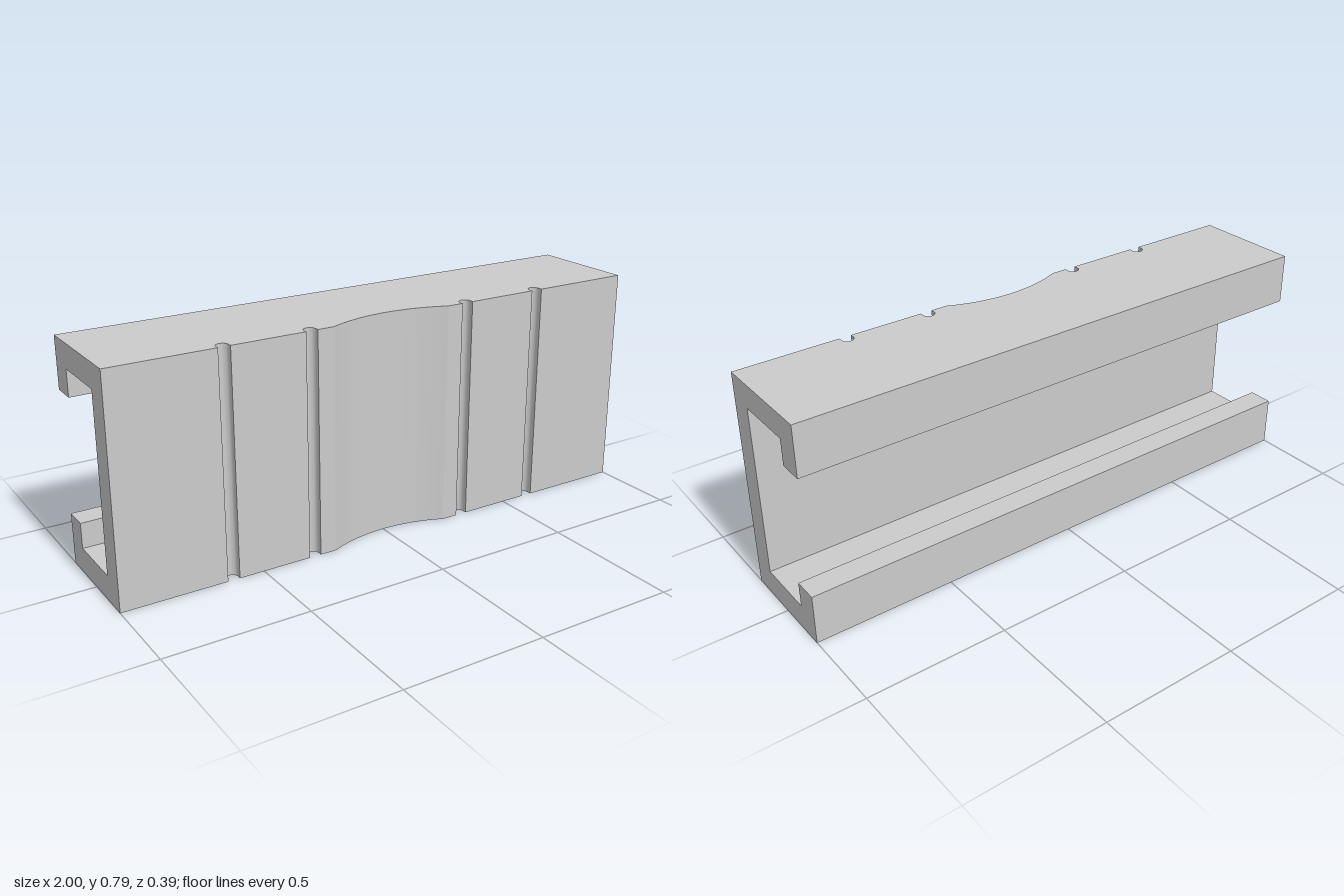
import * as THREE from 'three';
import { mergeGeometries, toCreasedNormals } from 'three/addons/utils/BufferGeometryUtils.js';

const L = 1, H = 0.79, D = 0.196;        // half length, height, half depth
const INNER = 0.108;                     // inner faces of wall and lips
const GROOVES = [-0.61, -0.305, 0.305, 0.61];
const GROOVE_R = 0.021, GROOVE_Z = 0.181;
const DISH_HALF = 0.225, DISH_DEPTH = 0.049;

// Front outline in plan, left to right: [x, z]
function frontOutline() {
  const pts = [[-L, D]];
  const groove = (x) => {
    pts.push([x - GROOVE_R, D]);
    for (let i = 0; i <= 16; i++) {
      const a = Math.PI * (1 + i / 16);
      pts.push([x + GROOVE_R * Math.cos(a), GROOVE_Z + GROOVE_R * Math.sin(a)]);
    }
    pts.push([x + GROOVE_R, D]);
  };
  const dish = () => {
    const r = (DISH_HALF ** 2 + DISH_DEPTH ** 2) / (2 * DISH_DEPTH);
    const half = Math.asin(DISH_HALF / r);
    for (let i = 0; i <= 28; i++) {
      const a = half * (i / 14 - 1);
      pts.push([r * Math.sin(a), D - DISH_DEPTH + r * (1 - Math.cos(a))]);
    }
  };
  GROOVES.slice(0, 2).forEach(groove);
  dish();
  GROOVES.slice(2).forEach(groove);
  pts.push([L, D]);
  return pts;
}

// Back and inside of the C section, top to bottom: [z, y]
const SECTION = [
  [-D, H], [-D, 0.61], [-INNER, 0.61], [-INNER, 0.703], [INNER, 0.703],
  [INNER, 0.09], [-INNER, 0.09], [-INNER, 0.18], [-D, 0.18], [-D, 0],
];

// Sweeps an open path between two positions given by near() and far()
function ribbon(path, near, far) {
  const pos = [];
  for (let i = 0; i < path.length - 1; i++) {
    const a = near(path[i]), b = near(path[i + 1]), c = far(path[i + 1]), d = far(path[i]);
    pos.push(...a, ...b, ...c, ...a, ...c, ...d);
  }
  const g = new THREE.BufferGeometry();
  g.setAttribute('position', new THREE.Float32BufferAttribute(pos, 3));
  return g;
}

// Flat cap from an outline; flip mirrors its first or second coordinate
function cap(outline, sx, sy) {
  const shape = new THREE.Shape(outline.map(([u, v]) => new THREE.Vector2(u * sx, v * sy)));
  const g = new THREE.ShapeGeometry(shape).toNonIndexed();
  g.deleteAttribute('normal');
  g.deleteAttribute('uv');
  return g;
}

export function createModel() {
  const group = new THREE.Group();
  group.name = 'groovedChannel';

  const front = frontOutline();
  const plan = [...front, [L, -D], [-L, -D]];
  const section = [...SECTION, [D, 0], [D, H]];

  const geometry = mergeGeometries([
    // grooved and dished front face
    ribbon(front, ([x, z]) => [x, 0, z], ([x, z]) => [x, H, z]),
    // lips and inside of the channel
    ribbon(SECTION, ([z, y]) => [L, y, z], ([z, y]) => [-L, y, z]),
    // top and bottom
    cap(plan, 1, -1).rotateX(-Math.PI / 2).translate(0, H, 0),
    cap(plan, 1, 1).rotateX(Math.PI / 2),
    // C-shaped ends
    cap(section, -1, 1).rotateY(Math.PI / 2).translate(L, 0, 0),
    cap(section, 1, 1).rotateY(-Math.PI / 2).translate(-L, 0, 0),
  ]);

  const channel = new THREE.Mesh(
    toCreasedNormals(geometry, 0.35),
    new THREE.MeshStandardMaterial({ color: 0xcccccc }),
  );
  channel.name = 'channelBody';
  group.add(channel);
  return group;
}
